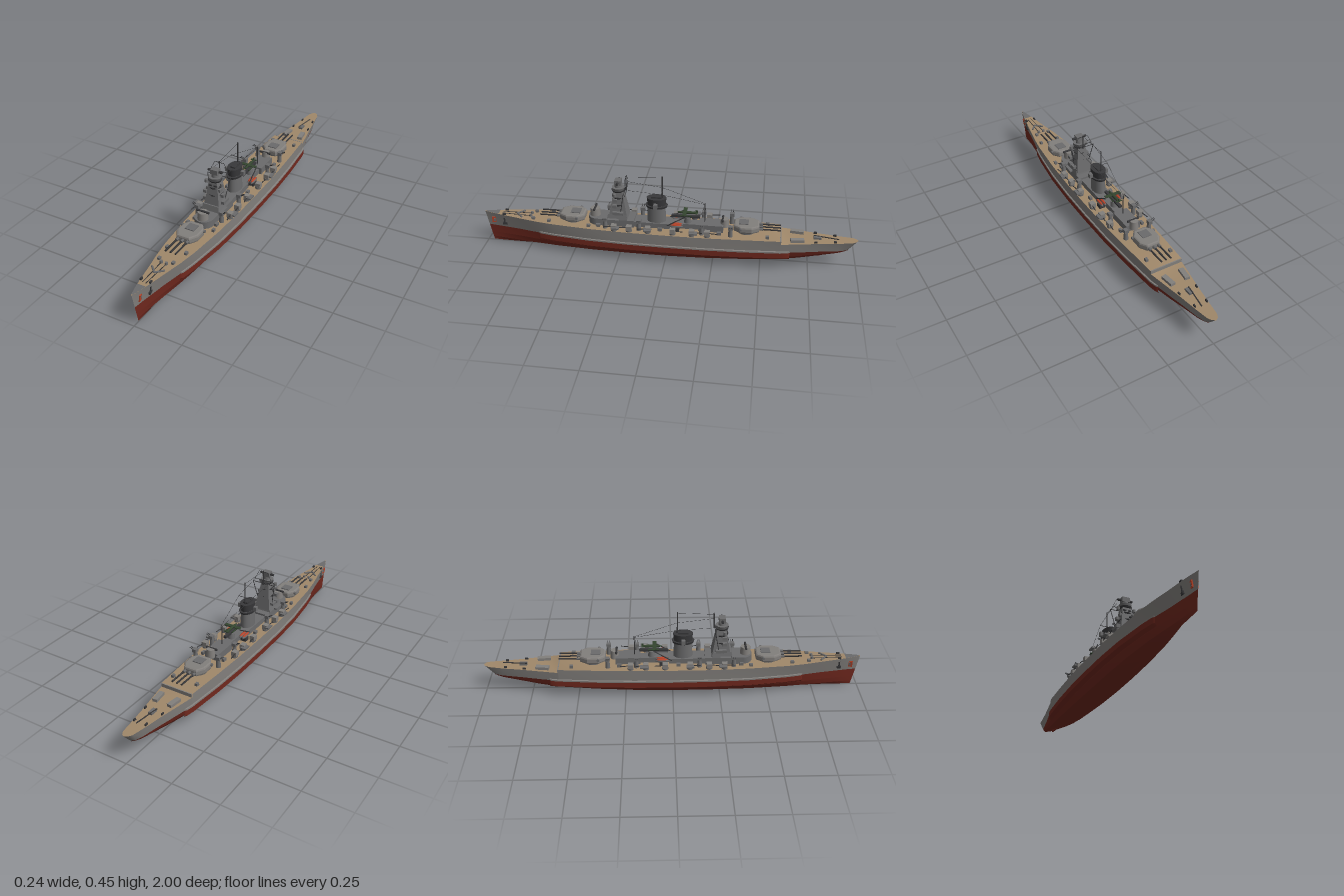
import * as THREE from 'three';

const mat = (name, color, side = THREE.FrontSide) => {
  const m = new THREE.MeshStandardMaterial({ color, side });
  m.name = name;
  return m;
};

export function createModel() {
  const ship = new THREE.Group();
  ship.name = 'battleship';
  const gray = mat('hullGray', 0x827f7c), red = mat('bottomRed', 0x70281e), tan = mat('deckWood', 0xa0886a);
  const steel = mat('structureGray', 0x6b6b6c), dark = mat('darkMetal', 0x38383a);
  const orange = mat('markingOrange', 0xb8442a), green = mat('planeGreen', 0x34452f);

  // Helpers
  const add = (name, geo, m, x = 0, y = 0, z = 0, parent = ship) => {
    const mesh = new THREE.Mesh(geo, m);
    mesh.name = name;
    mesh.position.set(x, y, z);
    parent.add(mesh);
    return mesh;
  };
  const box = (name, m, w, h, d, x, y, z, p) => add(name, new THREE.BoxGeometry(w, h, d), m, x, y, z, p);
  const cyl = (name, m, r1, r2, h, x, y, z, p, n = 16) => add(name, new THREE.CylinderGeometry(r1, r2, h, n), m, x, y, z, p);
  const rod = (name, m, a, b, r, p) => {
    const A = new THREE.Vector3(...a), B = new THREE.Vector3(...b), d = B.clone().sub(A);
    const mesh = cyl(name, m, r, r, d.length(), 0, 0, 0, p, 6);
    mesh.position.copy(A).add(B).multiplyScalar(0.5);
    mesh.quaternion.setFromUnitVectors(new THREE.Vector3(0, 1, 0), d.normalize());
    return mesh;
  };
  // Four-sided block tapering upward
  const taper = (name, m, wTop, wBot, h, depth, x, y, z) => {
    const g = new THREE.CylinderGeometry(wTop * Math.SQRT2, wBot * Math.SQRT2, h, 4).rotateY(Math.PI / 4).toNonIndexed();
    g.computeVertexNormals();
    const mesh = add(name, g, m, x, y, z);
    mesh.scale.z = depth;
    return mesh;
  };
  // Skin through rings ordered bow to stern, one material per strip, creased between strips
  const loft = (name, rings, mats) => {
    const pos = [], idx = [], geo = new THREE.BufferGeometry();
    mats.forEach((m, j) => {
      const base = pos.length / 3, start = idx.length;
      rings.forEach((r, i) => {
        pos.push(...r[j], ...r[j + 1]);
        if (i) {
          const a = base + 2 * (i - 1);
          idx.push(a, a + 2, a + 1, a + 2, a + 3, a + 1);
        }
      });
      geo.addGroup(start, idx.length - start, j);
    });
    geo.setAttribute('position', new THREE.Float32BufferAttribute(pos, 3));
    geo.setIndex(idx);
    geo.computeVertexNormals();
    return add(name, geo, mats);
  };

  // Hull stations: z, deck half-width, waterline half-width, deck y, keel y
  const S = [
    [1, 0.002, 0.001, 0.18, 0.004], [0.95, 0.016, 0.008, 0.178, 0.002], [0.9, 0.027, 0.016, 0.177, 0.001],
    [0.8, 0.046, 0.032, 0.174, 0], [0.7, 0.066, 0.052, 0.172, 0], [0.6, 0.081, 0.071, 0.171, 0],
    [0.4, 0.098, 0.095, 0.169, 0], [0.2, 0.107, 0.106, 0.168, 0], [0, 0.109, 0.109, 0.168, 0],
    [-0.2, 0.108, 0.108, 0.168, 0.005], [-0.4, 0.1, 0.1, 0.168, 0.014], [-0.598, 0.089, 0.085, 0.168, 0.027],
    [-0.6, 0.089, 0.085, 0.15, 0.027], [-0.7, 0.071, 0.066, 0.15, 0.04], [-0.8, 0.053, 0.045, 0.15, 0.058],
    [-0.9, 0.038, 0.027, 0.15, 0.078], [-0.97, 0.027, 0.015, 0.152, 0.088], [-0.99, 0.016, 0.006, 0.153, 0.09],
    [-1, 0, 0, 0.153, 0.092]];
  const WL = 0.098;
  const at = (z, k) => {
    const i = Math.max(1, S.findIndex(s => s[0] <= z)), a = S[i - 1], b = S[i];
    return a[k] + (b[k] - a[k]) * (a[0] - z) / (a[0] - b[0]);
  };
  const rake = (z, y) => z - Math.max(0, (z - 0.7) / 0.3) * 0.035 * (1 - y / 0.18)
    + Math.max(0, (-0.9 - z) / 0.1) * 0.05 * Math.min(1, (0.153 - y) / 0.06);
  const rings = S.map(([z, w, b, yd, yk]) => {
    const half = [[0, yk], [b * 0.64, yk + (WL - yk) * 0.2], [b * 0.86, yk + (WL - yk) * 0.52], [b, WL], [w, yd]];
    return [...half, ...half.slice().reverse().map(([x, y]) => [-x, y])].map(([x, y]) => [x, y, rake(z, y)]);
  });
  loft('hull', rings, [red, red, red, gray, tan, gray, red, red, red]);
  box('sternFin', red, 0.008, 0.04, 0.26, 0, 0.06, -0.68).rotation.x = 0.06;
  box('deckStep', gray, 0.176, 0.019, 0.006, 0, 0.159, -0.6);

  // Steel deck at the bow tip
  loft('bowPlating', [0.995, 0.95, 0.92].map(z => [1, -1].map(s => [s * at(z, 1), at(z, 3) + 0.001, z])), [steel]);

  // Side bulges
  const bz = [0.69, 0.68, 0.6, 0.5, 0.4, 0.2, 0, -0.2, -0.4, -0.6, -0.64, -0.65];
  for (const s of [1, -1]) {
    const rs = bz.map((z, i) => {
      const w = at(z, 2), p = i && i < bz.length - 1 ? 0.007 : 0;
      const r = [[w * 0.84, 0.052], [w + p, 0.068], [w + p, WL], [w + p, 0.106], [w - 0.003, 0.109]].map(([x, y]) => [s * x, y, z]);
      return s > 0 ? r : r.reverse();
    });
    loft('sideBulge', rs, s > 0 ? [red, red, gray, gray] : [gray, gray, red, red]);
  }

  // Bow shields, anchors, breakwater, chains and deck fittings
  for (const s of [1, -1]) {
    const plate = (name, m, z, w, h, y) => {
      const t = (y - WL) / (at(z, 3) - WL), x = at(z, 2) + (at(z, 1) - at(z, 2)) * t;
      const p = box(name, m, 0.006, h, w, s * x, y, rake(z, y));
      p.rotation.set(0, s * 0.21, -s * 0.12);
      return p;
    };
    plate('bowShield', orange, 0.955, 0.028, 0.036, 0.135);
    plate('shieldCentre', steel, 0.955, 0.01, 0.018, 0.135).scale.x = 1.3;
    plate('anchorShank', dark, 0.893, 0.008, 0.04, 0.138);
    plate('anchorFluke', dark, 0.893, 0.026, 0.014, 0.122).scale.x = 1.4;
    rod('breakwater', steel, [0, 0.178, 0.82], [s * 0.035, 0.178, 0.785], 0.005);
    rod('anchorChain', dark, [s * 0.009, 0.178, 0.9], [s * 0.014, 0.176, 0.74], 0.002);
    cyl('capstan', steel, 0.007, 0.008, 0.012, s * 0.014, 0.18, 0.74);
    box('bowBollard', dark, 0.008, 0.012, 0.016, s * 0.025, 0.18, 0.885);
    for (const z of [0.72, 0.63, 0.41, -0.53]) box('deckVent', steel, 0.014, 0.014, 0.018, s * (at(z, 1) - 0.024), 0.177, z);
    box('aftDeckLocker', gray, 0.026, 0.016, 0.07, s * 0.045, 0.157, -0.685).rotation.y = s * 0.12;
    for (const z of [-0.78, -0.88]) box('sternBollard', dark, 0.006, 0.01, 0.016, s * (at(z, 1) - 0.008), 0.155, z);
  }
  box('aftHatch', steel, 0.022, 0.012, 0.04, 0, 0.155, -0.79);
  rod('sternBoom', dark, [0.008, 0.158, -0.9], [-0.01, 0.162, -0.77], 0.003);

  // Main turrets
  const plan = new THREE.Shape([[0.03, -0.058], [0.05, -0.025], [0.05, 0.028], [0.028, 0.058],
    [-0.028, 0.058], [-0.05, 0.028], [-0.05, -0.025], [-0.03, -0.058]].map(p => new THREE.Vector2(...p)));
  for (const [z, turn] of [[0.505, 0], [-0.42, Math.PI]]) {
    const t = new THREE.Group();
    t.name = 'mainTurret';
    t.position.set(0, 0.168, z);
    t.rotation.y = turn;
    ship.add(t);
    cyl('barbette', steel, 0.046, 0.046, 0.02, 0, 0.005, 0, t, 24);
    const g = new THREE.ExtrudeGeometry(plan, { depth: 0.018, bevelEnabled: true, bevelThickness: 0.01, bevelSize: 0.009, bevelSegments: 2 });
    add('turretHouse', g.rotateX(-Math.PI / 2), gray, 0, 0.022, 0, t);
    rod('rangefinderArm', steel, [-0.066, 0.038, -0.03], [0.066, 0.038, -0.03], 0.008, t);
    box('turretRoof', steel, 0.05, 0.006, 0.05, 0, 0.051, -0.015, t);
    for (const x of [-0.027, 0, 0.027]) {
      rod('gunSleeve', steel, [x, 0.03, 0.05], [x, 0.03, 0.085], 0.008, t);
      rod('gunBarrel', dark, [x, 0.03, 0.07], [x, 0.03, 0.178], 0.0045, t);
    }
  }

  // Deckhouses
  box('forwardDeckhouse', steel, 0.1, 0.04, 0.2, 0, 0.187, 0.27);
  cyl('deckhouseFront', steel, 0.05, 0.05, 0.04, 0, 0.187, 0.37, ship, 20);
  cyl('conningTower', gray, 0.025, 0.029, 0.045, 0, 0.224, 0.385, ship, 16);
  rod('conningRangefinder', dark, [-0.035, 0.248, 0.385], [0.035, 0.248, 0.385], 0.006);
  box('midDeckhouse', steel, 0.08, 0.03, 0.2, 0, 0.182, 0.08);
  box('catapultHouse', steel, 0.05, 0.03, 0.16, 0, 0.182, -0.1);
  box('aftDeckhouse', steel, 0.08, 0.038, 0.13, 0, 0.186, -0.235);
  cyl('aftConningTower', gray, 0.02, 0.024, 0.045, 0, 0.21, -0.305, ship, 16);
  rod('aftRangefinder', dark, [-0.032, 0.23, -0.295], [0.032, 0.23, -0.295], 0.006);
  box('bridgeWing', steel, 0.13, 0.008, 0.06, 0, 0.21, 0.28);
  box('bridgePlatform', steel, 0.115, 0.014, 0.05, 0, 0.247, 0.25);

  // Tower and fighting top
  taper('towerBase', steel, 0.043, 0.05, 0.03, 1.1, 0, 0.222, 0.26);
  taper('tower', steel, 0.021, 0.045, 0.15, 1.1, 0, 0.29, 0.255);
  for (const [y, r] of [[0.285, 0.04], [0.325, 0.035], [0.363, 0.036]]) cyl('towerGallery', dark, r, r * 0.9, 0.008, 0, y, 0.257, ship, 12);
  cyl('topPlatform', steel, 0.034, 0.028, 0.018, 0, 0.372, 0.257);
  cyl('directorNeck', steel, 0.016, 0.02, 0.03, 0, 0.392, 0.257);
  box('director', steel, 0.042, 0.026, 0.034, 0, 0.41, 0.257);
  rod('directorRangefinder', dark, [-0.04, 0.41, 0.257], [0.04, 0.41, 0.257], 0.0065);
  rod('towerMast', dark, [0, 0.36, 0.215], [0, 0.445, 0.215], 0.003);
  rod('upperYard', dark, [-0.026, 0.437, 0.215], [0.026, 0.437, 0.215], 0.0015);
  rod('middleYard', dark, [-0.05, 0.388, 0.215], [0.05, 0.388, 0.215], 0.0015);
  rod('lowerYard', dark, [-0.067, 0.366, 0.22], [0.067, 0.366, 0.22], 0.0018);
  for (const s of [1, -1]) {
    rod('yardStrut', dark, [s * 0.065, 0.366, 0.22], [s * 0.043, 0.25, 0.24], 0.002);
    rod('yardStay', dark, [s * 0.05, 0.388, 0.215], [s * 0.026, 0.437, 0.215], 0.001);
    cyl('searchlight', steel, 0.009, 0.009, 0.016, s * 0.044, 0.351, 0.27);
    rod('searchlightArm', steel, [s * 0.044, 0.343, 0.27], [s * 0.018, 0.325, 0.26], 0.003);
    for (const [x, y] of [[0.05, 0.29], [0.053, 0.25], [0.032, 0.315]]) box('towerLookout', steel, 0.016, 0.016, 0.022, s * x, y, 0.27);
    box('bridgeWindow', dark, 0.016, 0.008, 0.006, s * 0.014, 0.34, 0.284);
  }

  // Funnel with dark cap, and main mast
  const funnel = (name, m, r1, r2, h, y) => { cyl(name, m, r1, r2, h, 0, y, 0.055, ship, 24).scale.z = 1.45; };
  funnel('funnel', steel, 0.032, 0.035, 0.12, 0.242);
  funnel('funnelPlatform', dark, 0.041, 0.038, 0.012, 0.285);
  funnel('funnelCap', dark, 0.036, 0.033, 0.04, 0.312);
  box('funnelGrille', dark, 0.03, 0.012, 0.055, 0, 0.334, 0.055);
  rod('mainMast', dark, [0, 0.2, 0.025], [0, 0.455, 0.025], 0.003);
  rod('mainMastYard', dark, [-0.04, 0.37, 0.025], [0.04, 0.37, 0.025], 0.0015);
  rod('aftMast', dark, [0, 0.2, -0.2], [0, 0.315, -0.2], 0.0025);
  for (const s of [1, -1]) {
    box('funnelSearchlight', steel, 0.018, 0.024, 0.02, s * 0.046, 0.302, 0.055);
    rod('forwardAerial', dark, [s * 0.048, 0.388, 0.215], [s * 0.038, 0.37, 0.025], 0.0008);
    rod('aftAerial', dark, [s * 0.038, 0.37, 0.025], [s * 0.004, 0.31, -0.2], 0.0008);
  }
  rod('topAerial', dark, [0, 0.44, 0.215], [0, 0.45, 0.025], 0.0008);

  // Catapult and seaplane
  cyl('catapultBase', steel, 0.016, 0.02, 0.035, 0, 0.21, -0.11);
  box('catapult', dark, 0.016, 0.012, 0.15, 0, 0.231, -0.1);
  const fuselage = add('planeFuselage', new THREE.SphereGeometry(1, 12, 8), green, 0, 0.254, -0.11);
  fuselage.scale.set(0.008, 0.008, 0.055);
  box('planeWing', green, 0.09, 0.003, 0.02, 0, 0.257, -0.095);
  box('planeTail', green, 0.032, 0.003, 0.01, 0, 0.256, -0.157);
  box('planeFin', green, 0.003, 0.015, 0.012, 0, 0.262, -0.157);
  for (const s of [1, -1]) {
    rod('planeFloat', green, [s * 0.015, 0.24, -0.13], [s * 0.015, 0.24, -0.07], 0.0035);
    rod('floatStrut', dark, [s * 0.015, 0.24, -0.1], [s * 0.008, 0.256, -0.1], 0.0015);
  }

  // Ship's boats, secondary guns and anti-aircraft mounts along both sides
  for (const s of [1, -1]) {
    for (const x of [0.036, 0.054]) {
      const hullBoat = add('boat', new THREE.SphereGeometry(1, 12, 8), steel, s * x, 0.196, -0.055);
      hullBoat.scale.set(0.009, 0.01, 0.036);
      const cover = add('boatInterior', new THREE.SphereGeometry(1, 12, 8), orange, s * x, 0.202, -0.055);
      cover.scale.set(0.007, 0.006, 0.03);
      box('boatCradle', dark, 0.014, 0.022, 0.03, s * x, 0.178, -0.055);
    }
    for (const [z, dir] of [[0.27, 1], [0.19, 1], [0.09, 1], [-0.04, -1], [-0.14, -1], [-0.22, -1]]) {
      cyl('secondaryBase', steel, 0.016, 0.016, 0.012, s * 0.088, 0.173, z);
      box('secondaryShield', gray, 0.028, 0.024, 0.028, s * 0.09, 0.19, z);
      rod('secondaryBarrel', dark, [s * 0.094, 0.192, z], [s * 0.102, 0.193, z + dir * 0.055], 0.0025);
    }
    for (const z of [0.26, 0.09, -0.15]) box('sideGallery', steel, 0.028, 0.008, 0.04, s * 0.106, 0.192, z);
    for (const z of [0.32, 0.14, -0.19, -0.34]) {
      cyl('antiAircraftPedestal', steel, 0.01, 0.013, 0.045, s * 0.068, 0.19, z);
      box('antiAircraftMount', steel, 0.022, 0.018, 0.024, s * 0.07, 0.22, z);
      for (const o of [-0.005, 0.005]) rod('antiAircraftBarrel', dark, [s * 0.072, 0.222, z + o], [s * 0.098, 0.232, z + o], 0.0018);
    }
    rod('boatCrane', dark, [s * 0.045, 0.19, -0.005], [s * 0.045, 0.25, -0.1], 0.003);
    for (const z of [0.36, 0.03, -0.28]) box('ammunitionLocker', steel, 0.014, 0.016, 0.022, s * 0.062, 0.176, z);
  }
  return ship;
}
